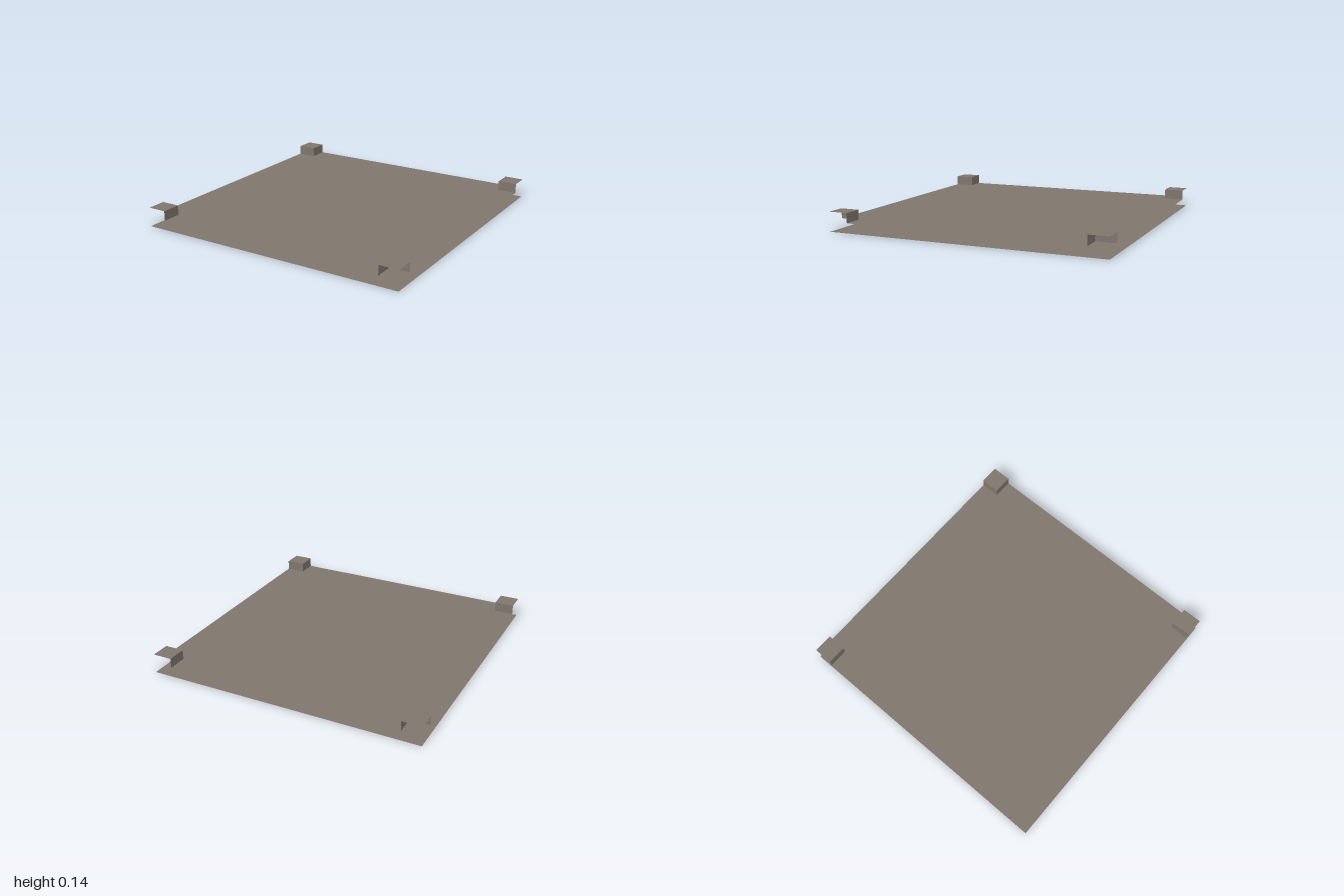
import * as THREE from 'three';

const HALF = 1, INNER = 0.86, STEP = 0.07;
const CAP = HALF - INNER, MID = (HALF + INNER) / 2;

export function createModel() {
  const model = new THREE.Group();
  model.name = 'floorTile';
  const stone = new THREE.MeshStandardMaterial({ color: 0x7f756d, side: THREE.DoubleSide });
  stone.name = 'stone';

  const add = (parent, name, geometry) => {
    const mesh = new THREE.Mesh(geometry, stone);
    mesh.name = name;
    parent.add(mesh);
    return mesh;
  };

  // Full square underside, facing down
  add(model, 'underside', new THREE.PlaneGeometry(2 * HALF, 2 * HALF).rotateX(Math.PI / 2));

  // Upper surface: a square with its four corners cut out
  const outline = [];
  for (const [sx, sy] of [[1, 1], [-1, 1], [-1, -1], [1, -1]]) {
    const notch = [[HALF, INNER], [INNER, INNER], [INNER, HALF]];
    if (sx * sy < 0) notch.reverse();
    for (const [x, y] of notch) outline.push(new THREE.Vector2(sx * x, sy * y));
  }
  const surface = new THREE.ShapeGeometry(new THREE.Shape(outline));
  add(model, 'upperSurface', surface.rotateX(-Math.PI / 2)).position.y = STEP;

  // Raised corners: a top and two inner walls, open on the outer sides
  for (const sx of [-1, 1]) {
    for (const sz of [-1, 1]) {
      const corner = new THREE.Group();
      corner.name = 'raisedCorner';
      add(corner, 'cornerTop', new THREE.PlaneGeometry(CAP, CAP).rotateX(-Math.PI / 2))
        .position.set(sx * MID, 2 * STEP, sz * MID);
      add(corner, 'innerWallX', new THREE.PlaneGeometry(CAP, STEP).rotateY(-sx * Math.PI / 2))
        .position.set(sx * INNER, 1.5 * STEP, sz * MID);
      add(corner, 'innerWallZ', new THREE.PlaneGeometry(CAP, STEP).rotateY(sz > 0 ? Math.PI : 0))
        .position.set(sx * MID, 1.5 * STEP, sz * INNER);
      model.add(corner);
    }
  }
  return model;
}
